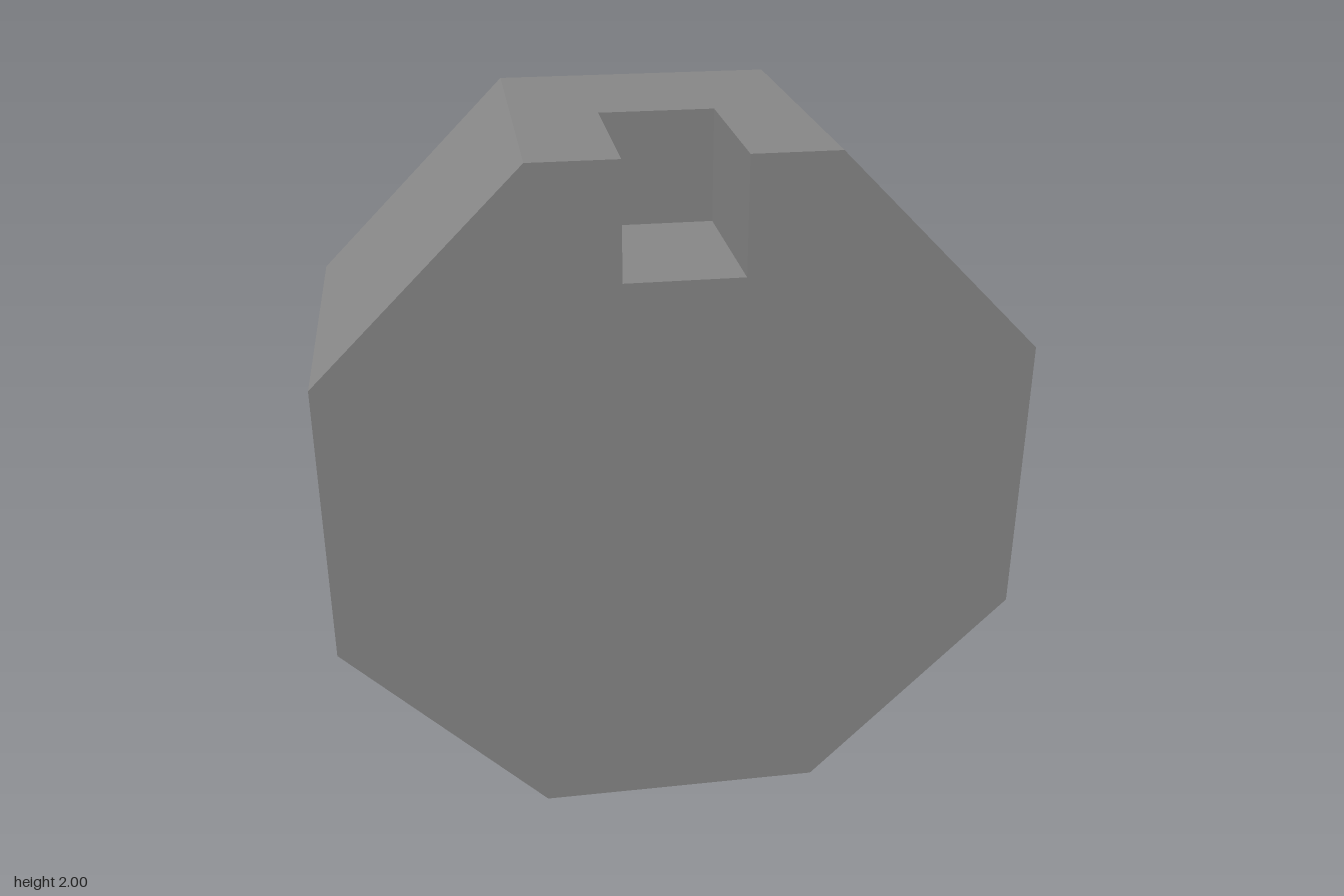
import * as THREE from 'three';
import { mergeGeometries } from 'three/addons/utils/BufferGeometryUtils.js';

const T = Math.SQRT2 - 1; // half the length of an octagon side
const D = 0.5;            // half the depth of the block
const N = 1 / 6;          // half the width of the notch
const FLOOR = 2 / 3;      // notch floor, measured from the octagon centre

// Flat panel drawn in 2D, facing its own +z
const panel = (pts) => new THREE.ShapeGeometry(new THREE.Shape(pts.map(([x, y]) => new THREE.Vector2(x, y))));
const rect = (x0, y0, x1, y1) => panel([[x0, y0], [x1, y0], [x1, y1], [x0, y1]]);
const lieFlat = (geo, y) => geo.rotateX(-Math.PI / 2).translate(0, y, 0);

export function createModel() {
  const gray = new THREE.MeshStandardMaterial({ color: 0x888888 });
  gray.name = 'gray';
  const group = new THREE.Group();
  group.name = 'notchedOctagonBlock';
  const add = (name, parts) => {
    const mesh = new THREE.Mesh(mergeGeometries(parts), gray);
    mesh.name = name;
    mesh.position.y = 1;
    group.add(mesh);
  };

  // Octagonal end faces; the front one is cut by the notch
  const octagon = [[-T, 1], [-1, T], [-1, -T], [-T, -1], [T, -1], [1, -T], [1, T], [T, 1]];
  const cut = [[N, 1], [N, FLOOR], [-N, FLOOR], [-N, 1]];
  add('frontFace', [panel([...octagon, ...cut]).translate(0, 0, D)]);
  add('backFace', [panel(octagon).rotateY(Math.PI).translate(0, 0, -D)]);

  // Top side with the notch opening, then the seven plain sides
  add('topSide', [lieFlat(panel([[-T, -D], [-N, -D], [-N, 0], [N, 0], [N, -D], [T, -D], [T, D], [-T, D]]), 1)]);
  const sides = [];
  for (let i = 1; i < 8; i++) sides.push(lieFlat(rect(-T, -D, T, D), 1).rotateZ(i * Math.PI / 4));
  add('rimSides', sides);

  // Inside of the notch: floor, back wall and two side walls
  add('notch', [
    lieFlat(rect(-N, -D, N, 0), FLOOR),
    rect(-N, FLOOR, N, 1),
    rect(-D, FLOOR, 0, 1).rotateY(Math.PI / 2).translate(-N, 0, 0),
    rect(0, FLOOR, D, 1).rotateY(-Math.PI / 2).translate(N, 0, 0),
  ]);
  return group;
}
